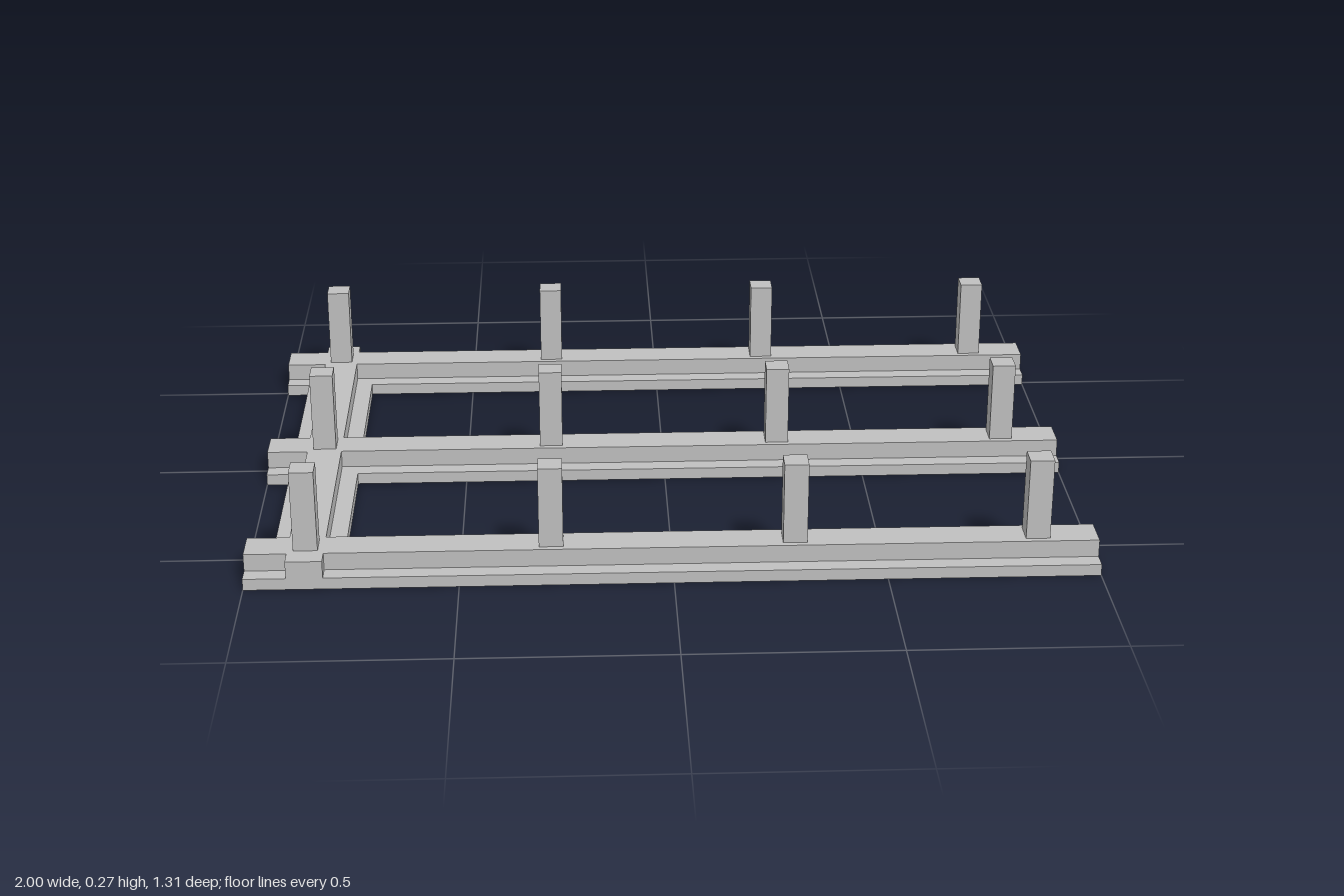
import * as THREE from 'three';

const FOOT_H = 0.0286, BEAM_H = 0.0714, POST_H = 0.2;
const FOOT_W = 0.17, STEM_W = 0.0857, POST_W = 0.0571;
const ROWS = [-0.5714, 0, 0.5714];               // z of the long beams
const POSTS = [-0.857, -0.2857, 0.2857, 0.857];  // x of the posts
const CROSS_X = POSTS[0];
const END_Z = ROWS[2] + FOOT_W / 2;

export function createModel() {
  const model = new THREE.Group();
  model.name = 'foundationFrame';
  const concrete = new THREE.MeshStandardMaterial({ color: 0xc0c0c0 });
  concrete.name = 'concreteGrey';

  // Box given by its limits on each axis
  function block(name, parent, [x0, x1], [y0, y1], [z0, z1]) {
    const mesh = new THREE.Mesh(new THREE.BoxGeometry(x1 - x0, y1 - y0, z1 - z0), concrete);
    mesh.position.set((x0 + x1) / 2, (y0 + y1) / 2, (z0 + z1) / 2);
    mesh.name = name;
    parent.add(mesh);
  }
  const around = (c, w) => [c - w / 2, c + w / 2];
  const footY = [0, FOOT_H], stemY = [FOOT_H, BEAM_H], postY = [BEAM_H, BEAM_H + POST_H];

  // Long inverted-T beams, each carrying a row of posts
  for (const z of ROWS) {
    const beam = new THREE.Group();
    beam.name = 'longBeam';
    block('beamFooting', beam, [-1, 1], footY, around(z, FOOT_W));
    block('beamStem', beam, [-1, 1], stemY, around(z, STEM_W));
    for (const x of POSTS) block('post', beam, around(x, POST_W), postY, around(z, POST_W));
    model.add(beam);
  }

  // Cross beam, fitted between the long beams
  const cross = new THREE.Group();
  cross.name = 'crossBeam';
  for (let i = 0; i < 2; i++) {
    const span = w => [ROWS[i] + w / 2, ROWS[i + 1] - w / 2];
    block('crossFooting', cross, around(CROSS_X, FOOT_W), footY, span(FOOT_W));
    block('crossStem', cross, around(CROSS_X, STEM_W), stemY, span(STEM_W));
  }
  // Short stem stubs running out to the edges of the outer footings
  const inner = ROWS[2] + STEM_W / 2;
  block('frontStub', cross, around(CROSS_X, STEM_W), stemY, [inner, END_Z]);
  block('backStub', cross, around(CROSS_X, STEM_W), stemY, [-END_Z, -inner]);
  model.add(cross);

  return model;
}
